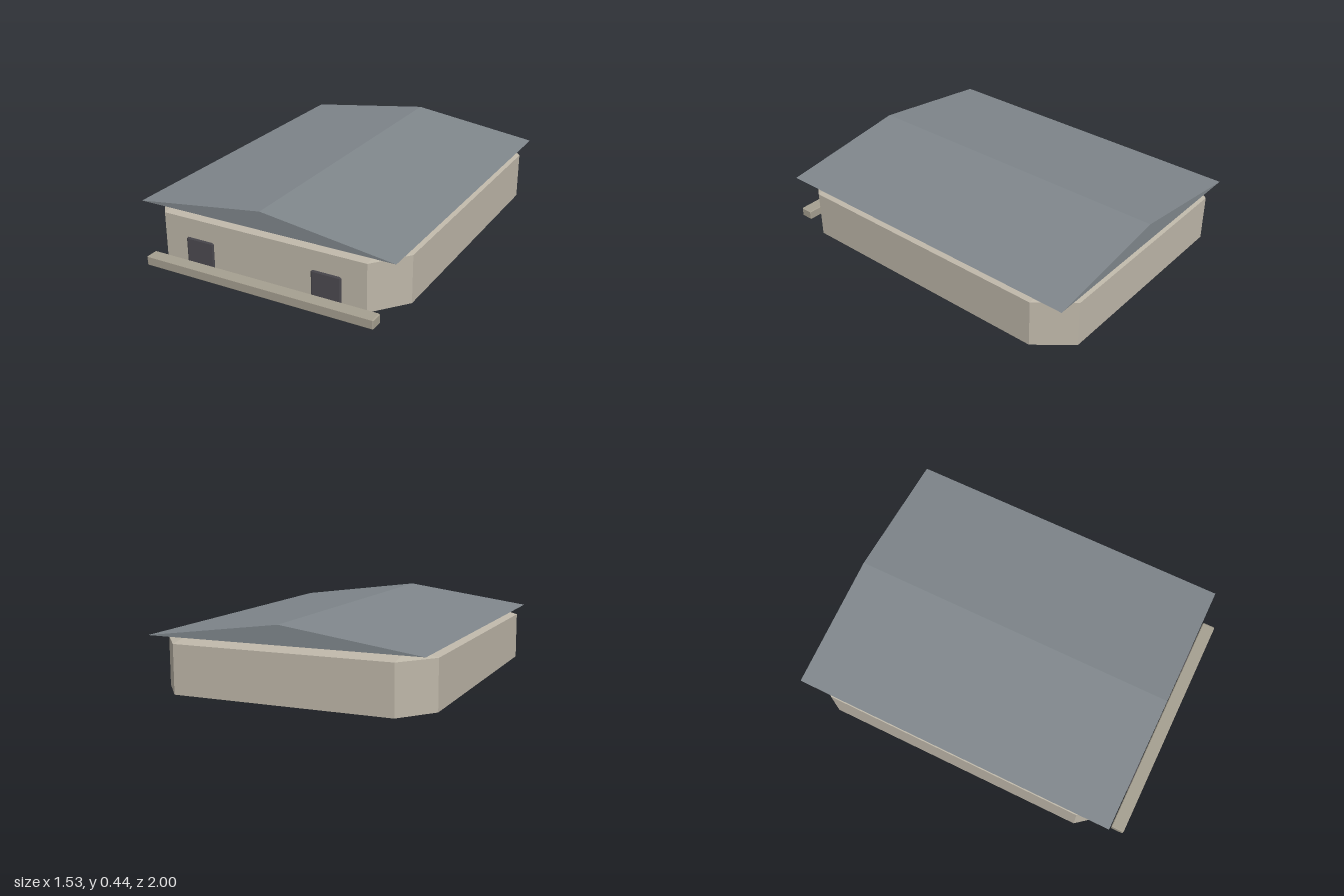
import * as THREE from 'three';
import { ConvexGeometry } from 'three/addons/geometries/ConvexGeometry.js';

const material = (color) => new THREE.MeshStandardMaterial({ color, flatShading: true });

// Box with every edge and corner cut; cut holds the cut size along each axis
function bevelledBox(size, cut) {
  const points = [];
  for (let axis = 0; axis < 3; axis++) {
    for (let corner = 0; corner < 8; corner++) {
      const p = size.map((s, i) => (corner & (1 << i) ? 1 : -1) * (s / 2 - (i === axis ? 0 : cut[i])));
      points.push(new THREE.Vector3(...p));
    }
  }
  return new ConvexGeometry(points);
}

export function createModel() {
  const group = new THREE.Group();
  const add = (name, geometry, mat, x, y, z) => {
    const mesh = new THREE.Mesh(geometry, mat);
    mesh.name = name;
    mesh.position.set(x, y, z);
    group.add(mesh);
  };

  const wall = material(0xbdb6a8);
  const roof = material(0x7f868b);
  const step = material(0xa59f90);
  const door = material(0x4c4a50);

  // Bevelled block with wide corner cuts
  add('walls', bevelledBox([1.53, 0.336, 1.915], [0.153, 0.034, 0.19]), wall, 0, 0.168, -0.0425);

  // Low gable roof with its ridge running front to back
  const gable = new THREE.Shape([
    new THREE.Vector2(-0.765, 0),
    new THREE.Vector2(0.765, 0),
    new THREE.Vector2(0, 0.103),
  ]);
  const roofGeometry = new THREE.ExtrudeGeometry(gable, { depth: 1.915, bevelEnabled: false });
  add('roof', roofGeometry, roof, 0, 0.338, -1);

  // Two doors on the front wall, running down behind the step
  for (const [name, x] of [['leftDoor', 0.384], ['rightDoor', -0.384]]) {
    add(name, bevelledBox([0.172, 0.187, 0.02], [0.008, 0.008, 0.003]), door, x, 0.0985, 0.913);
  }

  // Long front step
  add('frontStep', bevelledBox([1.382, 0.054, 0.075], [0.006, 0.004, 0.004]), step, 0, 0.031, 0.9625);

  return group;
}
